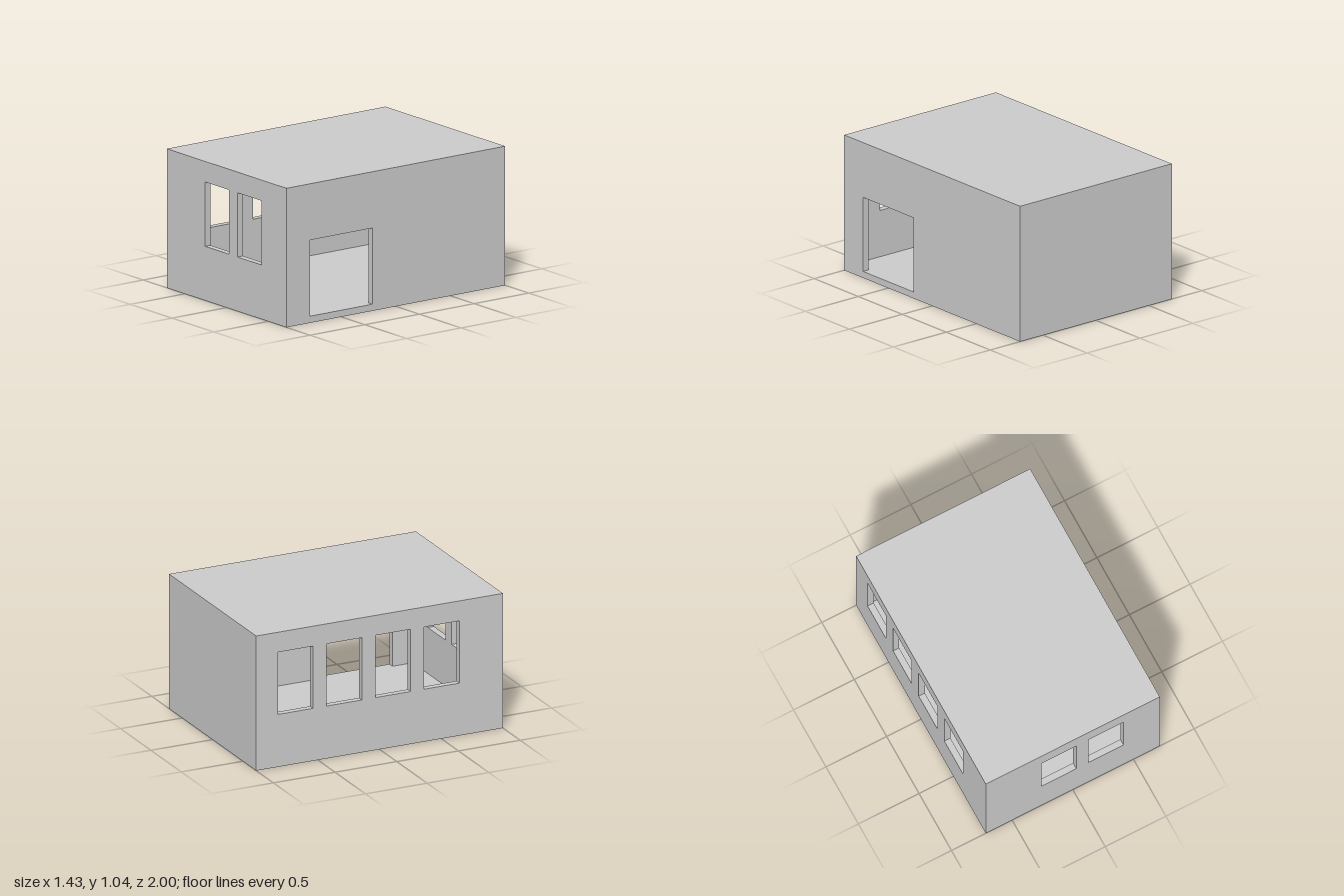
import * as THREE from 'three';

const W = 1.434, H = 1.045, L = 2, T = 0.05; // outer size and wall thickness
const material = new THREE.MeshStandardMaterial({ color: 0xcccccc, flatShading: true });

// Upright panel with rectangular openings [u0, u1, v0, v1], extruded along +z
function wall(name, width, openings = []) {
  const w = width / 2;
  const shape = new THREE.Shape([[-w, 0], [w, 0], [w, H], [-w, H]].map(p => new THREE.Vector2(...p)));
  for (const [u0, u1, v0, v1] of openings) {
    shape.holes.push(new THREE.Path([[u0, v0], [u0, v1], [u1, v1], [u1, v0]].map(p => new THREE.Vector2(...p))));
  }
  const mesh = new THREE.Mesh(new THREE.ExtrudeGeometry(shape, { depth: T, bevelEnabled: false }), material);
  mesh.name = name;
  return mesh;
}

// Horizontal slab fitted between the walls
function slab(name, y) {
  const mesh = new THREE.Mesh(new THREE.BoxGeometry(W - 2 * T, T, L - 2 * T), material);
  mesh.name = name;
  mesh.position.y = y;
  return mesh;
}

export function createModel() {
  const group = new THREE.Group();
  group.name = 'house';
  const sill = 0.407, head = 0.89, windowWidth = 0.287, pitch = 0.395;

  // Front wall with two windows, plain back wall
  const front = wall('frontWall', W - 2 * T, [-0.258, 0.131].map(x => [x, x + windowWidth, sill, head]));
  front.position.z = L / 2 - T;
  const back = wall('backWall', W - 2 * T);
  back.position.z = -L / 2;

  // Left wall with the square doorway (local x runs towards -z)
  const left = wall('leftWallWithDoorway', L, [[-0.785, -0.213, T, 0.622]]);
  left.rotation.y = Math.PI / 2;
  left.position.x = W / 2 - T;

  // Right wall with a row of four windows
  const row = [0, 1, 2, 3].map(i => -0.647 + i * pitch);
  const right = wall('rightWallWithWindows', L, row.map(u => [u, u + windowWidth, sill, head]));
  right.rotation.y = Math.PI / 2;
  right.position.x = -W / 2;

  group.add(front, back, left, right, slab('floor', T / 2), slab('flatRoof', H - T / 2));
  return group;
}
